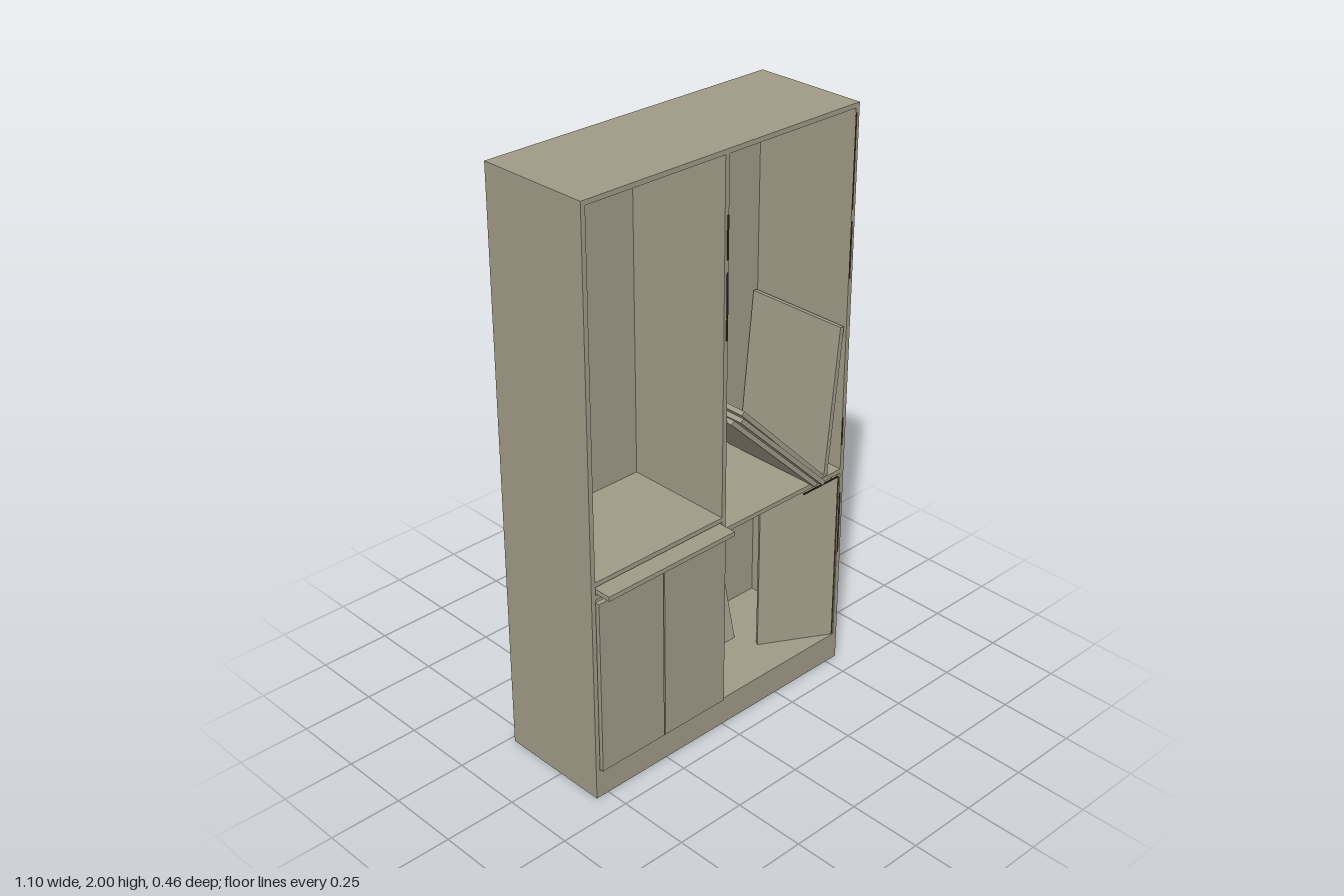
import * as THREE from 'three';

function paint(name, color) {
  const m = new THREE.MeshStandardMaterial({ color });
  m.name = name;
  return m;
}
const board = paint('weathered board', 0xa09a86);
const chipped = paint('dark brown chipped edge', 0x3b2c22);
const damp = paint('damp stain', 0x645c4e);

const T = 0.016; // board thickness
const BACK = -0.23, FRONT = 0.17;

export function createModel() {
  const root = new THREE.Group();
  root.name = 'brokenCabinet';

  // box given by its min and max corners
  function slab(name, x0, x1, y0, y1, z0, z1, material = board) {
    const m = new THREE.Mesh(new THREE.BoxGeometry(x1 - x0, y1 - y0, z1 - z0), material);
    m.position.set((x0 + x1) / 2, (y0 + y1) / 2, (z0 + z1) / 2);
    m.name = name;
    root.add(m);
    return m;
  }

  // carcass, open underneath behind the plinth
  for (const s of [-1, 1]) {
    const a = s * 0.548, b = s * (0.548 - T);
    slab(s > 0 ? 'leftSide' : 'rightSide', Math.min(a, b), Math.max(a, b), 0, 2, BACK, FRONT);
  }
  const X = 0.548 - T;
  slab('topPanel', -X, X, 2 - T, 2, BACK, FRONT);
  slab('backPanel', -X, X, 0, 2 - T, BACK, BACK + 0.012);
  slab('plinth', -X, X, 0, 0.084, FRONT - T, FRONT);
  slab('floorPanel', -X, X, 0.084, 0.1, BACK + 0.012, FRONT);
  slab('middleShelf', -X, X, 0.735, 0.751, BACK + 0.012, FRONT);
  slab('lowerDivider', -0.01, 0.006, 0.1, 0.735, BACK + 0.012, FRONT);
  slab('upperDivider', -0.01, 0.006, 0.751, 2 - T, BACK + 0.012, FRONT);

  // pull-out board and the shelf above it
  slab('trayCover', -X, -0.01, 0.78, 0.796, BACK + 0.012, FRONT);
  slab('pullOutBoard', -0.53, -0.012, 0.757, 0.773, -0.16, 0.228);

  // closed doors
  const doorW = 0.26, doorH = 0.62;
  for (const x of [-0.528, -0.263]) slab('closedDoor', x, x + doorW, 0.102, 0.102 + doorH, 0.164, 0.18);

  // door swung inward on its outer edge
  const hinge = new THREE.Group();
  hinge.name = 'ajarDoor';
  hinge.position.set(0.523, 0.102, 0.168);
  hinge.rotation.y = -0.52;
  const door = new THREE.Mesh(new THREE.BoxGeometry(doorW, doorH, T), board);
  door.name = 'ajarDoorPanel';
  door.position.set(-doorW / 2, doorH / 2, -T / 2);
  hinge.add(door);
  root.add(hinge);

  // fallen door leaning on the back panel
  const lean = new THREE.Group();
  lean.name = 'fallenDoor';
  lean.position.set(0.142, 0.102, -0.045);
  lean.rotation.x = -0.24;
  const fallen = new THREE.Mesh(new THREE.BoxGeometry(doorW, doorH, T), board);
  fallen.name = 'fallenDoorPanel';
  fallen.position.set(0, doorH / 2, -T / 2);
  lean.add(fallen);
  root.add(lean);

  // loose shelves: foot x, head x, head y, front z
  const loose = [
    [0.402, 0.018, 1.125, 0.185],
    [0.429, 0.047, 1.125, 0.195],
    [0.452, 0.078, 1.128, 0.168],
    [0.463, 0.515, 1.27, 0.168],
  ];
  for (const [fx, hx, hy, z] of loose) {
    const fy = 0.75, dx = hx - fx, dy = hy - fy;
    const m = slab('looseShelf', -T / 2, T / 2, 0, Math.hypot(dx, dy), z - 0.38, z);
    m.position.x = (fx + hx) / 2;
    m.position.y = (fy + hy) / 2;
    m.rotation.z = -Math.atan2(dx, dy);
  }

  // worn front edges: x0, x1, y0, y1
  const chips = [
    [0.532, 0.538, 1.43, 1.62], [0.532, 0.537, 1.66, 1.97],
    [0.532, 0.536, 0.84, 0.94], [0.532, 0.538, 0.43, 0.66],
    [-0.001, 0.005, 1.4, 1.62], [-0.001, 0.005, 1.66, 1.8],
    [-0.009, -0.004, 0.33, 0.45],
    [-0.51, -0.28, 0.094, 0.099], [-0.14, -0.03, 0.094, 0.099],
    [-0.27, -0.2, 0.724, 0.73], [0.36, 0.52, 0.724, 0.729],
  ];
  for (const [x0, x1, y0, y1] of chips) slab('chippedEdge', x0, x1, y0, y1, FRONT - 0.002, FRONT + 0.002, chipped);
  // dark gaps beside the doors
  slab('doorGap', -0.268, -0.263, 0.102, 0.722, 0.165, 0.172, chipped);
  slab('hingeGap', 0.523, 0.529, 0.102, 0.722, 0.16, 0.168, chipped);

  // irregular stain under the floor panel, drawn in x and z
  const outline = [
    [-0.14, 0.06], [-0.2, 0.02], [-0.26, 0.03], [-0.31, -0.06], [-0.38, -0.08],
    [-0.44, -0.04], [-0.37, 0.02], [-0.41, 0.08], [-0.42, 0.14], [-0.33, 0.13],
    [-0.28, 0.07], [-0.2, 0.09],
  ].map(([x, z]) => new THREE.Vector2(x, z));
  const curve = new THREE.SplineCurve([...outline, outline[0]]);
  const stain = new THREE.Mesh(new THREE.ShapeGeometry(new THREE.Shape(curve.getPoints(48))), damp);
  stain.name = 'underStain';
  stain.rotation.x = Math.PI / 2;
  stain.position.y = 0.082;
  root.add(stain);
  return root;
}
